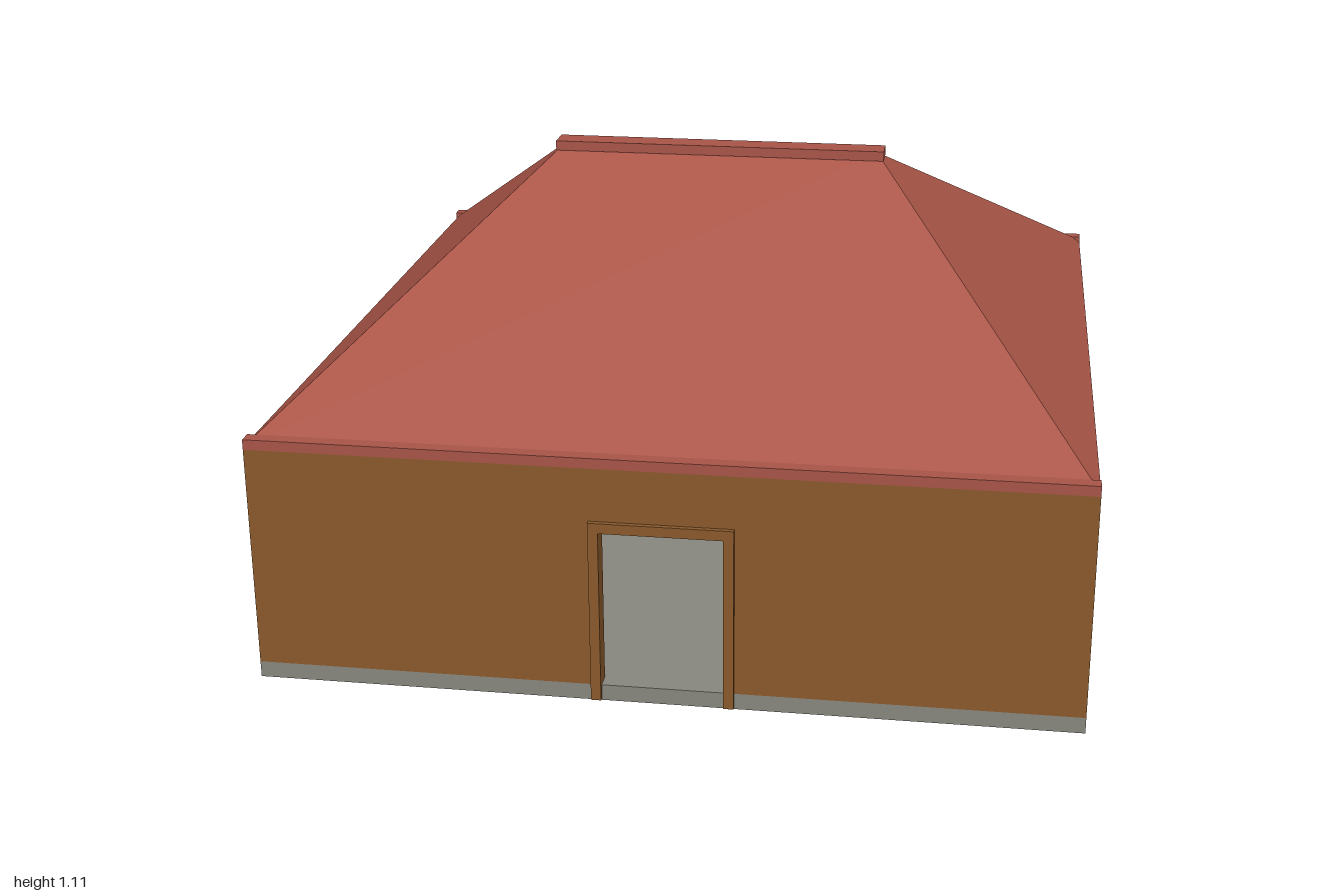
import * as THREE from 'three';

const H = 0.98;            // half width of the square house
const T = 0.04;            // wall thickness
const WALL_TOP = 0.59, FLOOR = 0.04;

const wood = new THREE.MeshStandardMaterial({ color: 0x8b5a2b });
const tile = new THREE.MeshStandardMaterial({ color: 0xaa5548, flatShading: true });
const stone = new THREE.MeshStandardMaterial({ color: 0x888880 });

function add(parent, name, geometry, material) {
  const mesh = new THREE.Mesh(geometry, material);
  mesh.name = name;
  parent.add(mesh);
  return mesh;
}

// box given by its minimum and maximum corners
function box(parent, name, material, [x0, y0, z0], [x1, y1, z1]) {
  const mesh = add(parent, name, new THREE.BoxGeometry(x1 - x0, y1 - y0, z1 - z0), material);
  mesh.position.set((x0 + x1) / 2, (y0 + y1) / 2, (z0 + z1) / 2);
  return mesh;
}

// upright wall panel of the given half length, outer face at z = 0
function wallGeometry(half, opening) {
  const outline = [[-half, FLOOR]];
  if (opening === 'door') outline.push([-0.145, FLOOR], [-0.145, 0.435], [0.145, 0.435], [0.145, FLOOR]);
  outline.push([half, FLOOR], [half, WALL_TOP], [-half, WALL_TOP]);
  const shape = new THREE.Shape(outline.map(p => new THREE.Vector2(...p)));
  if (opening === 'window') {
    const hole = [[-0.15, 0.195], [-0.15, 0.495], [0.15, 0.495], [0.15, 0.195]];
    shape.holes.push(new THREE.Path(hole.map(p => new THREE.Vector2(...p))));
  }
  return new THREE.ExtrudeGeometry(shape, { depth: T, bevelEnabled: false }).translate(0, 0, -T);
}

// closed hip roof: four slopes and a flat underside
function roofGeometry() {
  const y = 0.596, top = 1.1, r = 0.41;
  const p = [[-H, y, H], [H, y, H], [H, y, -H], [-H, y, -H], [-r, top, 0], [r, top, 0]];
  const faces = [0, 1, 5, 0, 5, 4, 1, 2, 5, 2, 3, 4, 2, 4, 5, 3, 0, 4, 0, 3, 2, 0, 2, 1];
  const geometry = new THREE.BufferGeometry();
  geometry.setAttribute('position', new THREE.Float32BufferAttribute(faces.flatMap(i => p[i]), 3));
  geometry.computeVertexNormals();
  return geometry;
}

export function createModel() {
  const house = new THREE.Group();
  house.name = 'house';

  box(house, 'foundation', stone, [-H, 0, -H], [H, FLOOR, H]);

  // front and back walls
  add(house, 'frontWall', wallGeometry(H, 'door'), wood).position.z = H;
  const back = add(house, 'backWall', wallGeometry(H), wood);
  back.position.z = -H;
  back.rotation.y = Math.PI;

  // side walls with window, lintel and sill
  for (const [side, label] of [[1, 'left'], [-1, 'right']]) {
    const group = new THREE.Group();
    group.name = label + 'Side';
    group.position.x = side * H;
    group.rotation.y = side * Math.PI / 2;
    add(group, label + 'Wall', wallGeometry(H - T, 'window'), wood);
    box(group, label + 'WindowLintel', wood, [-0.178, 0.495, -T], [0.178, 0.51, 0.01]);
    box(group, label + 'WindowSill', wood, [-0.178, 0.18, -T], [0.178, 0.195, 0.02]);
    house.add(group);
  }

  // door frame
  for (const s of [-1, 1]) {
    const post = box(house, 'doorPost', wood, [-0.012, 0.005, H - T], [0.012, 0.435, H + 0.012]);
    post.position.x = s * 0.157;
  }
  box(house, 'doorLintel', wood, [-0.169, 0.435, H - T], [0.169, 0.46, H + 0.012]);

  // roof, ridge cap and the eave strips along front and back
  add(house, 'roof', roofGeometry(), tile);
  box(house, 'ridgeCap', tile, [-0.43, 1.085, -0.035], [0.43, 1.11, 0.035]);
  box(house, 'frontEave', tile, [-H, WALL_TOP, H - 0.035], [H, 0.615, H]);
  box(house, 'backEave', tile, [-H, WALL_TOP, -H], [H, 0.615, -H + 0.035]);

  // centre the depth, allowing for the door frame
  for (const part of house.children) part.position.z -= 0.006;
  return house;
}
